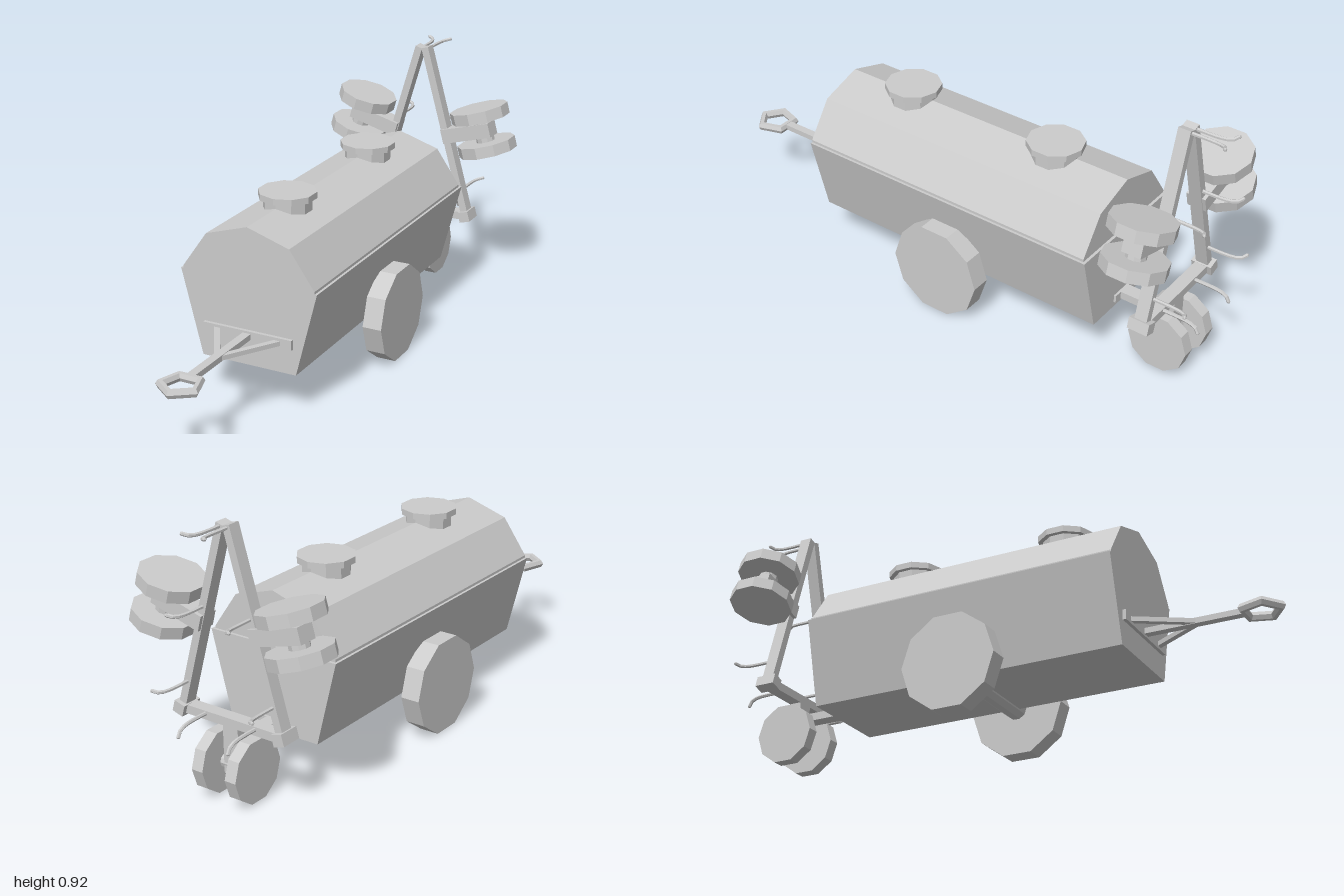
import * as THREE from 'three';

export function createModel() {
  const model = new THREE.Group();
  const grey = new THREE.MeshStandardMaterial({ color: 0xcccccc, flatShading: true });
  const SIDES = 10;

  function add(name, geometry, x = 0, y = 0, z = 0, parent = model) {
    const mesh = new THREE.Mesh(geometry, grey);
    mesh.name = name;
    mesh.position.set(x, y, z);
    parent.add(mesh);
    return mesh;
  }
  const box = (w, h, d) => new THREE.BoxGeometry(w, h, d);
  const drum = (r, h) => new THREE.CylinderGeometry(r, r, h, SIDES);
  const drumX = (r, h) => drum(r, h).rotateZ(Math.PI / 2);

  // Cross-section extruded along z from z0 to z1
  function prism(points, z0, z1) {
    const shape = new THREE.Shape(points.map(([x, y]) => new THREE.Vector2(x, y)));
    const g = new THREE.ExtrudeGeometry(shape, { depth: z1 - z0, bevelEnabled: false });
    return g.translate(0, 0, z0);
  }

  // Tank: tapered hull and faceted lid
  add('hull', prism([[-0.175, 0.15], [0.175, 0.15], [0.252, 0.448], [-0.252, 0.448]], -0.65, 0.51));
  add('lid', prism([[-0.243, 0.448], [0.243, 0.448], [0.243, 0.457], [0.153, 0.585],
    [0, 0.633], [-0.153, 0.585], [-0.243, 0.457]], -0.64, 0.51));

  // Filler hatches on the ridge
  for (const z of [0.24, -0.36]) {
    add('hatchNeck', drum(0.083, 0.07), 0, 0.62, z);
    add('hatchCap', drum(0.1, 0.022), 0, 0.662, z);
  }

  // Main wheels and axle
  add('mainAxle', drumX(0.039, 0.44), 0, 0.168, -0.067);
  for (const s of [-1, 1]) add('mainWheel', drumX(0.173, 0.07), s * 0.25, 0.168, -0.067);

  // Tow bar with braces and ring
  add('towMount', box(0.33, 0.035, 0.014), 0, 0.258, 0.515);
  add('towBar', box(0.03, 0.02, 0.35), 0, 0.258, 0.69);
  for (const s of [-1, 1]) {
    const brace = add('towBrace', box(0.02, 0.016, 0.22), s * 0.062, 0.258, 0.605);
    brace.rotation.y = -s * Math.atan2(0.11, 0.18);
  }
  const ring = new THREE.TorusGeometry(0.065, 0.016, 6, 5);
  ring.rotateZ(Math.PI / 2).rotateX(Math.PI / 2);
  add('towRing', ring, 0, 0.256, 0.92);

  // Rear link, post and twin caster wheels
  const BACK = -0.842;
  add('linkBar', box(0.05, 0.028, 0.2), 0, 0.183, -0.74);
  add('linkPlate', box(0.11, 0.028, 0.012), 0, 0.183, -0.652);
  add('casterPost', box(0.06, 0.17, 0.045), 0, 0.165, BACK);
  add('casterAxle', drumX(0.024, 0.12), 0, 0.113, BACK);
  for (const s of [-1, 1]) add('casterWheel', drumX(0.11, 0.043), s * 0.067, 0.113, BACK);

  // Rear A-frame
  add('frameCrossbar', box(0.4, 0.03, 0.045), 0, 0.262, BACK);
  const tilt = Math.atan2(0.188, 0.655);
  const legX = y => 0.012 + (0.915 - y) * Math.tan(tilt);
  for (const s of [-1, 1]) {
    const leg = add('frameLeg', box(0.028, 0.68, 0.045), s * 0.106, 0.587, BACK);
    leg.rotation.z = s * tilt;
    const foot = add('frameFoot', box(0.042, 0.04, 0.075), s * 0.2, 0.264, BACK);
    foot.rotation.z = s * tilt;

    // Hooks bending outwards from each leg, plus one bending down at the crossbar
    const hooks = [0.905, 0.63, 0.36].map(y => [legX(y), y, Math.cos(tilt), Math.sin(tilt)]);
    hooks.push([0.1, 0.268, 0, -1]);
    for (const [x, y, nx, ny] of hooks) {
      const point = (out, z) => new THREE.Vector3(s * (x + nx * out), y + ny * out, z);
      const path = new THREE.CatmullRomCurve3([
        point(0, -0.85), point(0, -0.93), point(0.004, -0.965), point(0.014, -0.985), point(0.03, -0.993),
      ]);
      add('hook', new THREE.TubeGeometry(path, 8, 0.0065, 6), 0, 0, 0);
      add('hookTip', new THREE.SphereGeometry(0.0065, 6, 4), ...point(0.03, -0.993).toArray());
    }

    // Tilted reel carried by an arm
    const reel = new THREE.Group();
    reel.name = 'reel';
    reel.position.set(s * 0.254, 0.618, BACK);
    reel.rotation.z = s * 0.27;
    model.add(reel);
    add('reelArm', box(0.2, 0.055, 0.07), -s * 0.062, 0, 0, reel);
    add('reelSpindle', drum(0.035, 0.13), 0, 0, 0, reel);
    for (const side of [-1, 1]) add('reelDisc', drum(0.112, 0.043), 0, side * 0.066, 0, reel);
  }
  return model;
}
